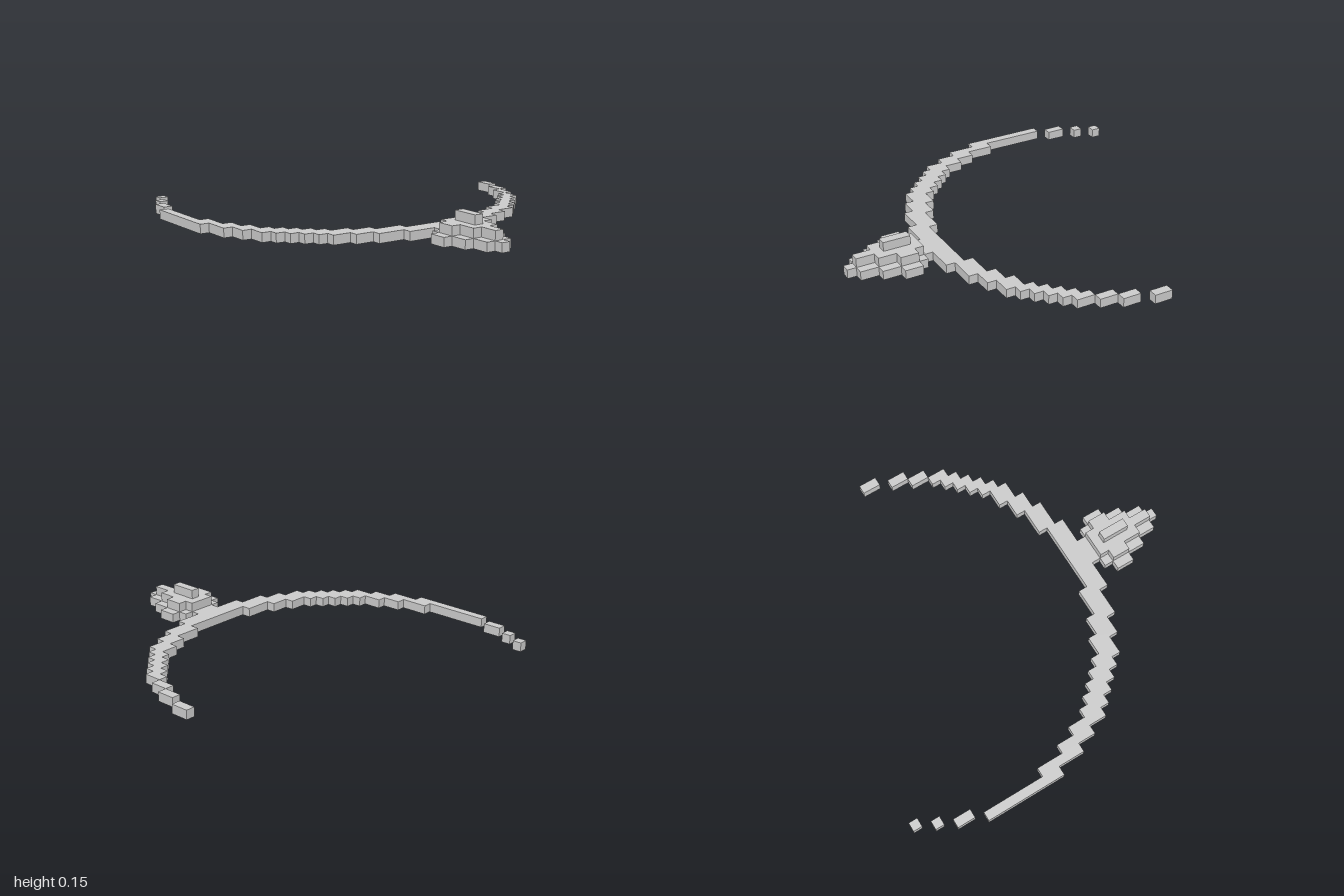
import * as THREE from 'three';

const CELL = 0.05;
const material = new THREE.MeshStandardMaterial({ color: 0xcccccc, flatShading: true });

// A block covering columns c0..c1 (column 0 is centred on x = 0), z0..z1, on one layer
function block(parent, name, c0, c1, z0, z1, layer = 0) {
  const geometry = new THREE.BoxGeometry((c1 - c0 + 1) * CELL, CELL, z1 - z0);
  const mesh = new THREE.Mesh(geometry, material);
  mesh.position.set(((c0 + c1) / 2) * CELL, (layer + 0.5) * CELL, (z0 + z1) / 2);
  mesh.name = name;
  parent.add(mesh);
}

function subgroup(parent, name) {
  const group = new THREE.Group();
  group.name = name;
  parent.add(group);
  return group;
}

export function createModel() {
  const model = new THREE.Group();
  model.name = 'necklace';

  // Long right side of the chain, with loose links at its end: [c0, c1, z0, z1]
  const rightChain = subgroup(model, 'rightChain');
  [
    [-16, -16, -1, -0.95], [-17, -17, -0.9, -0.85], [-18, -18, -0.8, -0.7],
    [-19, -19, -0.65, -0.2], [-18, -18, -0.3, -0.05], [-17, -17, -0.15, 0.05],
    [-16, -16, -0.05, 0.15],
    [-10, -10, 0.3, 0.4], [-9, -9, 0.3, 0.45], [-8, -8, 0.35, 0.45],
    [-7, -7, 0.35, 0.5], [-6, -5, 0.4, 0.5], [-4, -4, 0.4, 0.55],
  ].forEach((r) => block(rightChain, 'chainLink', ...r));
  // Even diagonal run of the right side
  for (let i = 0; i < 5; i++) {
    const z = 0.05 + i * CELL;
    block(rightChain, 'chainLink', -15 + i, -15 + i, z, z + 0.15);
  }

  // Shorter left side of the chain
  const leftChain = subgroup(model, 'leftChain');
  [
    [5, 7, 0.4, 0.5], [8, 9, 0.35, 0.45], [10, 11, 0.3, 0.4],
    [17, 17, -0.05, 0.05], [18, 18, -0.15, -0.05], [19, 19, -0.3, -0.2],
  ].forEach((r) => block(leftChain, 'chainLink', ...r));
  for (let i = 0; i < 5; i++) {
    const z = 0.25 - i * CELL;
    block(leftChain, 'chainLink', 12 + i, 12 + i, z, z + 0.1);
  }

  // Front middle of the chain
  block(model, 'chainFront', -3, 4, 0.45, 0.55);

  // Stepped pendant: per layer, the z range of each column counted out from the centre
  const pendant = subgroup(model, 'pendant');
  const layers = [
    [[0.55, 1], [0.55, 0.95], [0.6, 0.85], [0.65, 0.75]],
    [[0.6, 0.95], [0.6, 0.85], [0.65, 0.75]],
    [[0.65, 0.8]],
  ];
  layers.forEach((columns, layer) => columns.forEach(([z0, z1], c) => {
    block(pendant, 'pendantStep', c, c, z0, z1, layer);
    if (c > 0) block(pendant, 'pendantStep', -c, -c, z0, z1, layer);
  }));

  return model;
}
